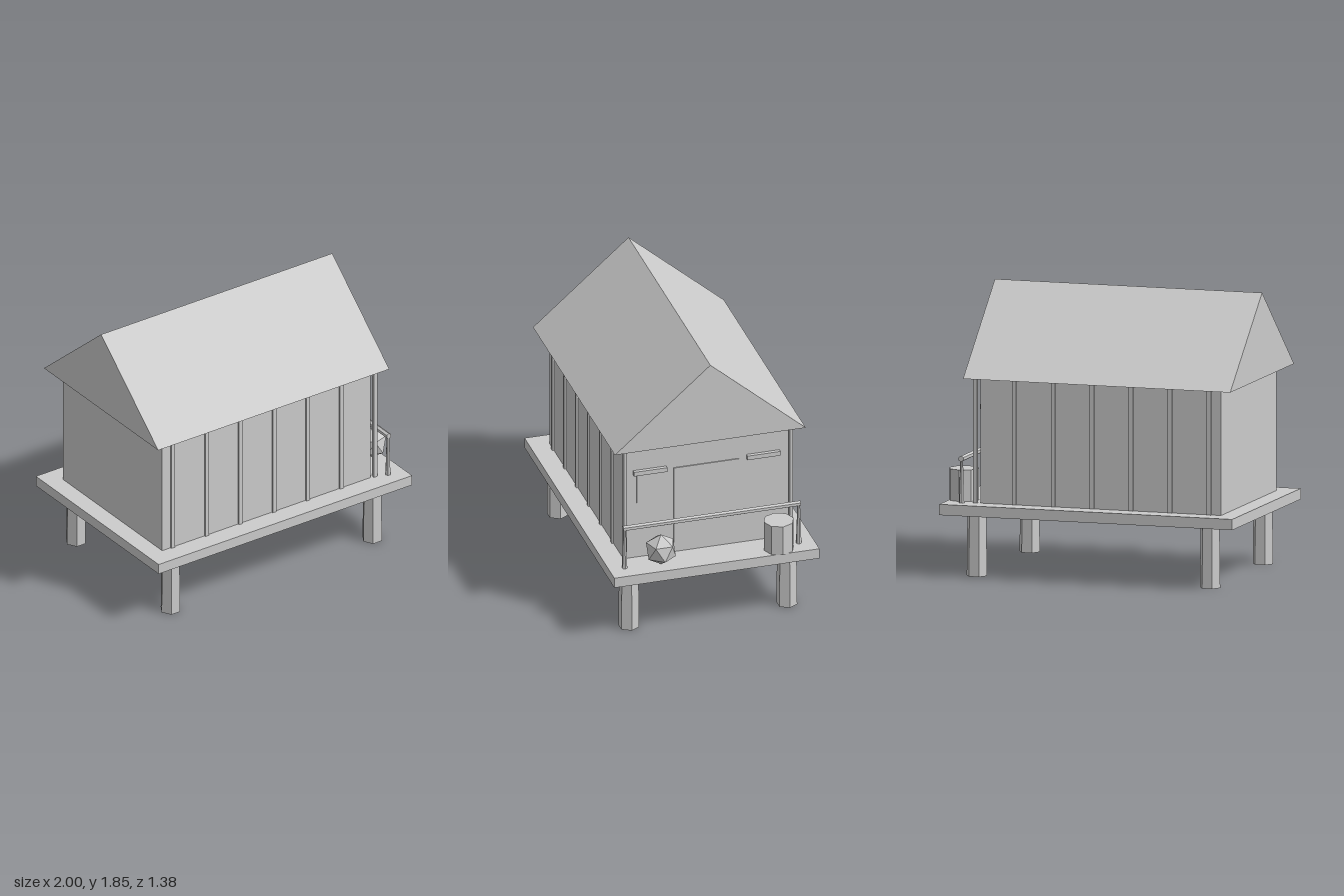
import * as THREE from 'three';

export function createModel() {
  const model = new THREE.Group();
  model.name = 'stiltHut';
  const grey = new THREE.MeshStandardMaterial({ color: 0xcccccc, flatShading: true });
  grey.name = 'plain grey';

  const add = (name, geometry, x = 0, y = 0, z = 0) => {
    const mesh = new THREE.Mesh(geometry, grey);
    mesh.name = name;
    mesh.position.set(x, y, z);
    model.add(mesh);
    return mesh;
  };
  // Box given by its limits on each axis
  const block = (name, x0, x1, y0, y1, z0, z1) =>
    add(name, new THREE.BoxGeometry(x1 - x0, y1 - y0, z1 - z0),
      (x0 + x1) / 2, (y0 + y1) / 2, (z0 + z1) / 2);

  // Raised deck on four hexagonal stilts
  block('deck', -1, 0.985, 0.405, 0.475, -0.688, 0.688);
  for (const x of [-0.797, 0.783]) {
    for (const z of [-0.53, 0.53]) {
      const stilt = add('stilt', new THREE.CylinderGeometry(0.064, 0.069, 0.41, 6), x, 0.205, z);
      stilt.rotation.y = Math.PI / 6;
    }
  }

  // Walls with battens; the last pair stands free as porch posts
  block('walls', -0.88, 0.75, 0.475, 1.29, -0.556, 0.556);
  for (const side of [-1, 1]) {
    for (let i = 0; i < 7; i++) {
      const x = -0.8 + i * 0.264;
      add('batten', new THREE.BoxGeometry(0.028, 0.815, 0.02), x, 0.8825, side * 0.557);
    }
  }

  // Solid gable roof
  const gable = new THREE.Shape();
  gable.moveTo(-0.64, 1.29);
  gable.lineTo(0.64, 1.29);
  gable.lineTo(0, 1.845);
  gable.closePath();
  const roof = new THREE.ExtrudeGeometry(gable, { depth: 1.81, bevelEnabled: false });
  roof.rotateY(Math.PI / 2);
  add('roof', roof, -0.97);

  // Door and windows on the porch wall
  block('door', 0.745, 0.757, 0.505, 1.087, -0.217, 0.22);
  for (const side of [-1, 1]) {
    add('window', new THREE.BoxGeometry(0.012, 0.21, 0.175), 0.751, 0.975, side * 0.38);
    add('windowHeader', new THREE.BoxGeometry(0.03, 0.03, 0.222), 0.76, 1.092, side * 0.38);
  }

  // Porch railing
  const rail = add('handrail', new THREE.CylinderGeometry(0.019, 0.019, 1.19, 6), 0.868, 0.762, 0);
  rail.rotation.x = Math.PI / 2;
  for (const side of [-1, 1]) {
    const post = add('railPost', new THREE.CylinderGeometry(0.009, 0.018, 0.29, 6), 0.868, 0.62, side * 0.584);
    post.rotation.y = Math.PI / 6;
  }

  // Barrel and faceted ball on the porch
  add('barrel', new THREE.CylinderGeometry(0.1, 0.1, 0.205, 8), 0.9, 0.5775, -0.44);
  const ball = new THREE.IcosahedronGeometry(0.107, 0);
  ball.rotateZ(Math.atan2(2, 1 + Math.sqrt(5))); // stand it on a vertex
  add('ball', ball, 0.9, 0.59, 0.35);

  return model;
}
